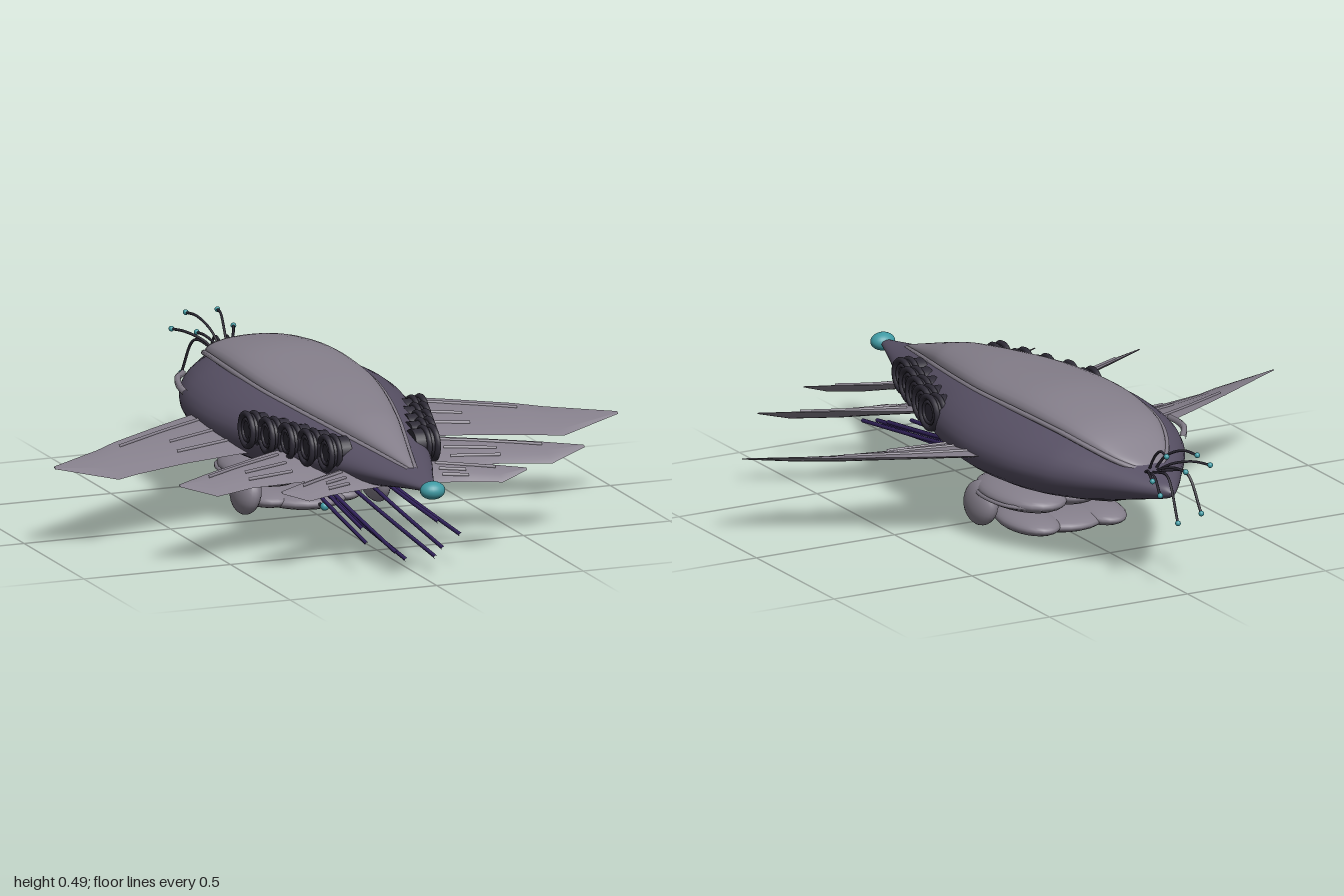
import * as THREE from 'three';
import { toCreasedNormals } from 'three/addons/utils/BufferGeometryUtils.js';

const V = (x, y, z) => new THREE.Vector3(x, y, z);
const mat = (color) => new THREE.MeshStandardMaterial({ color });

// Skins a list of closed rings and caps both ends.
function loft(rings) {
  const n = rings[0].length, pos = [], idx = [];
  rings.forEach((r) => r.forEach((p) => pos.push(p.x, p.y, p.z)));
  for (let i = 0; i < rings.length - 1; i++) {
    for (let j = 0; j < n; j++) {
      const a = i * n + j, b = i * n + (j + 1) % n;
      idx.push(a, b, a + n, b, b + n, a + n);
    }
  }
  const last = (rings.length - 1) * n;
  for (let j = 1; j < n - 1; j++) {
    idx.push(0, j + 1, j, last, last + j, last + j + 1);
  }
  const g = new THREE.BufferGeometry();
  g.setAttribute('position', new THREE.Float32BufferAttribute(pos, 3));
  g.setIndex(idx);
  g.computeVertexNormals();
  return g;
}

// Rows of [z, halfWidth, top, middle, bottom], smoothed along the length.
function body(rows, steps, sides, power) {
  const a = new THREE.CatmullRomCurve3(rows.map((r) => V(r[0], r[1], r[2])), false, 'catmullrom');
  const b = new THREE.CatmullRomCurve3(rows.map((r) => V(r[3], r[4], 0)), false, 'catmullrom');
  const rings = [];
  for (let i = 0; i <= steps; i++) {
    const p = a.getPoint(i / steps), q = b.getPoint(i / steps), ring = [];
    for (let j = 0; j < sides; j++) {
      const t = j / sides * Math.PI * 2, c = Math.cos(t), s = Math.sin(t);
      const h = Math.sign(s) * Math.abs(s) ** power;
      ring.push(V(c * p.y, q.x + h * (s > 0 ? p.z - q.x : q.x - q.y), p.x));
    }
    rings.push(ring);
  }
  return loft(rings);
}

// Wing stations: [x, rear z, front z, rear y, front y, thickness]
const WINGS = [
  [[0.15, -0.32, 0.09, 0.305, 0.25, 0.035], [0.3, -0.26, 0.09, 0.305, 0.25, 0.032],
    [0.5, -0.145, 0.115, 0.3, 0.243, 0.026], [0.68, -0.035, 0.165, 0.295, 0.237, 0.02],
    [0.76, 0.022, 0.203, 0.29, 0.236, 0.016], [0.96, 0.15, 0.165, 0.285, 0.28, 0.004]],
  [[0.08, 0.2, 0.5, 0.3, 0.25, 0.03], [0.27, 0.285, 0.505, 0.3, 0.25, 0.028],
    [0.43, 0.38, 0.51, 0.298, 0.248, 0.022], [0.57, 0.462, 0.567, 0.295, 0.247, 0.016],
    [0.69, 0.535, 0.547, 0.29, 0.285, 0.004]],
  [[0.04, 0.5, 0.67, 0.295, 0.255, 0.025], [0.16, 0.57, 0.685, 0.295, 0.252, 0.022],
    [0.24, 0.615, 0.7, 0.292, 0.25, 0.018], [0.33, 0.67, 0.745, 0.29, 0.25, 0.013],
    [0.417, 0.722, 0.735, 0.285, 0.28, 0.004]],
];

// Point on a wing at station r, chord fraction f, side k (1 upper, -1 lower).
const wingPoint = (r, f, k, s) => V(s * r[0],
  r[3] + (r[4] - r[3]) * f + k * r[5] * 0.5 * Math.sin(Math.PI * f) ** 0.6, r[1] + (r[2] - r[1]) * f);

function wingGeometry(rows, s) {
  const rings = rows.map((r) => {
    const ring = [];
    for (let i = 0; i < 6; i++) ring.push(wingPoint(r, i / 6, 1, s));
    for (let i = 6; i > 0; i--) ring.push(wingPoint(r, i / 6, -1, s));
    return s > 0 ? ring : ring.reverse();
  });
  return toCreasedNormals(loft(rings), 0.6);
}

export function createModel() {
  const root = new THREE.Group();
  const dark = mat(0x575064), grey = mat(0x857f8b), black = mat(0x2d2a35);
  const teal = mat(0x3f9aa3), violet = mat(0x34245f);

  const add = (name, geo, m, x = 0, y = 0, z = 0) => {
    const mesh = new THREE.Mesh(geo, m);
    mesh.name = name;
    mesh.position.set(x, y, z);
    root.add(mesh);
    return mesh;
  };
  const tube = (name, pts, r, m, seg = 20, sides = 6) =>
    add(name, new THREE.TubeGeometry(new THREE.CatmullRomCurve3(pts), seg, r, sides), m);
  const blob = (name, m, x, y, z, rx, ry, rz) => {
    const mesh = add(name, new THREE.SphereGeometry(1, 24, 16), m, x, y, z);
    mesh.scale.set(rx, ry, rz);
    return mesh;
  };

  // Long tapering hull
  add('hull', body([
    [-0.9, 0.008, 0.315, 0.308, 0.3], [-0.87, 0.035, 0.335, 0.31, 0.285], [-0.8, 0.085, 0.355, 0.31, 0.265],
    [-0.7, 0.15, 0.385, 0.31, 0.238], [-0.6, 0.215, 0.415, 0.31, 0.21], [-0.5, 0.268, 0.438, 0.31, 0.19],
    [-0.35, 0.317, 0.455, 0.31, 0.17], [-0.15, 0.336, 0.462, 0.31, 0.163], [0.05, 0.31, 0.455, 0.31, 0.168],
    [0.25, 0.255, 0.435, 0.305, 0.187], [0.45, 0.196, 0.4, 0.305, 0.215], [0.65, 0.128, 0.362, 0.305, 0.248],
    [0.8, 0.07, 0.337, 0.305, 0.275], [0.96, 0.012, 0.315, 0.306, 0.298],
  ], 64, 40, 1), dark);

  // Raised back shell and the bead round its rim
  const shell = [
    [-0.78, 0.012, 0.355, 0.348, 0.335], [-0.7, 0.088, 0.4, 0.38, 0.35], [-0.6, 0.138, 0.45, 0.41, 0.37],
    [-0.48, 0.168, 0.478, 0.43, 0.39], [-0.26, 0.188, 0.497, 0.438, 0.4], [0, 0.185, 0.485, 0.43, 0.4],
    [0.2, 0.156, 0.47, 0.415, 0.38], [0.4, 0.112, 0.446, 0.393, 0.36], [0.5, 0.086, 0.428, 0.38, 0.35],
    [0.65, 0.045, 0.385, 0.358, 0.33], [0.79, 0.008, 0.343, 0.336, 0.325],
  ];
  add('backShell', body(shell, 48, 32, 0.85), grey);
  for (const s of [1, -1]) {
    tube('shellRim', shell.map((r) => V(s * (r[1] + 0.004), r[3] - 0.004, r[0])), 0.009, grey, 64);
  }
  // Small slit panel on one flank
  tube('flankStrip', [V(-0.235, 0.36, -0.55), V(-0.285, 0.365, -0.47), V(-0.31, 0.36, -0.39), V(-0.318, 0.355, -0.32)],
    0.011, grey);

  for (const s of [1, -1]) {
    // Three swept wings with raised ribs
    WINGS.forEach((rows) => {
      add('wing', wingGeometry(rows, s), grey);
      for (const [f, last] of [[0.2, 4], [0.5, 3], [0.75, 3]]) {
        tube('wingRib', rows.slice(1, last).map((r) => wingPoint(r, f, 1, s)), 0.006, grey, 10);
      }
    });

    // Row of ringed ports along the flank
    for (let i = 0; i < 5; i++) {
      const z = 0.515 - i * 0.094, x = s * (0.165 + i * 0.029);
      const drum = add('portDrum', new THREE.CylinderGeometry(0.05, 0.05, 0.07, 24), black, x - s * 0.02, 0.34, z);
      drum.rotation.z = Math.PI / 2;
      for (const [r, t, o] of [[0.052, 0.01, 0.016], [0.052, 0.009, -0.012], [0.034, 0.006, 0.016]]) {
        const ring = add('portRing', new THREE.TorusGeometry(r, t, 8, 28), black, x + s * o, 0.34, z);
        ring.rotation.y = Math.PI / 2;
      }
    }

    // Forward lances under the belly: [tip x, y, z, base x, y, z]
    for (const [x, y, z, bx, by, bz] of [
      [0.13, 0.13, 0.7, 0.1, 0.185, 0.2], [0.16, 0.11, 0.81, 0.12, 0.18, 0.15],
      [0.08, 0.085, 0.86, 0.07, 0.175, 0.15], [0.05, 0.062, 0.87, 0.05, 0.145, 0.0],
    ]) {
      tube('lance', [V(s * x, y, z), V(s * (x + bx) / 2, (y + by) / 2 - 0.003, (z + bz) / 2), V(s * bx, by, bz)],
        0.0065, violet, 8);
    }

    // Belly pods, side claws and lower lobes
    blob('bellyPod', grey, s * 0.13, 0.135, -0.16, 0.122, 0.044, 0.205);
    tube('podSeam', [V(s * 0.16, 0.125, 0.03), V(s * 0.235, 0.128, -0.06), V(s * 0.255, 0.13, -0.16),
      V(s * 0.235, 0.13, -0.27), V(s * 0.16, 0.13, -0.35)], 0.007, grey, 24);
    const claw = blob('sideClaw', grey, s * 0.22, 0.085, -0.06, 0.042, 0.072, 0.085);
    claw.rotation.z = s * 0.15;
    blob('lowerLobe', grey, s * 0.12, 0.045, -0.18, 0.085, 0.034, 0.155);
  }
  blob('bellyCore', grey, 0, 0.14, -0.16, 0.12, 0.045, 0.18);
  blob('lowerKeel', grey, 0, 0.04, -0.15, 0.15, 0.036, 0.175);

  // Belly feeler and nose bulb
  tube('bellyFeeler', [V(0, 0.045, -0.02), V(0, 0.042, 0.02), V(0, 0.045, 0.06)], 0.006, black, 8);
  blob('bellyFeelerTip', teal, 0, 0.045, 0.062, 0.014, 0.014, 0.014);
  blob('noseBulb', teal, 0, 0.306, 0.965, 0.041, 0.029, 0.035);

  // Tail tendrils, each arching to a small bead
  for (const [x, y, z] of [
    [-0.11, 0.4, -0.95], [-0.055, 0.445, -0.965], [-0.03, 0.385, -0.935], [0.03, 0.24, -0.992],
    [0.045, 0.45, -0.945], [0.085, 0.335, -0.975], [0.11, 0.385, -0.97], [-0.07, 0.25, -0.965],
  ]) {
    const lift = Math.max(y, 0.34) + (y < 0.35 ? 0.03 : 0.0);
    tube('tailTendril', [V(x * 0.2, 0.34, -0.76), V(x * 0.4, 0.34 + (lift - 0.34) * 0.65, -0.82),
      V(x * 0.75, lift, -0.82 + (z + 0.82) * 0.55), V(x, y, z)], 0.0045, black);
    blob('tendrilBead', teal, x, y, z, 0.009, 0.009, 0.009);
  }
  return root;
}
